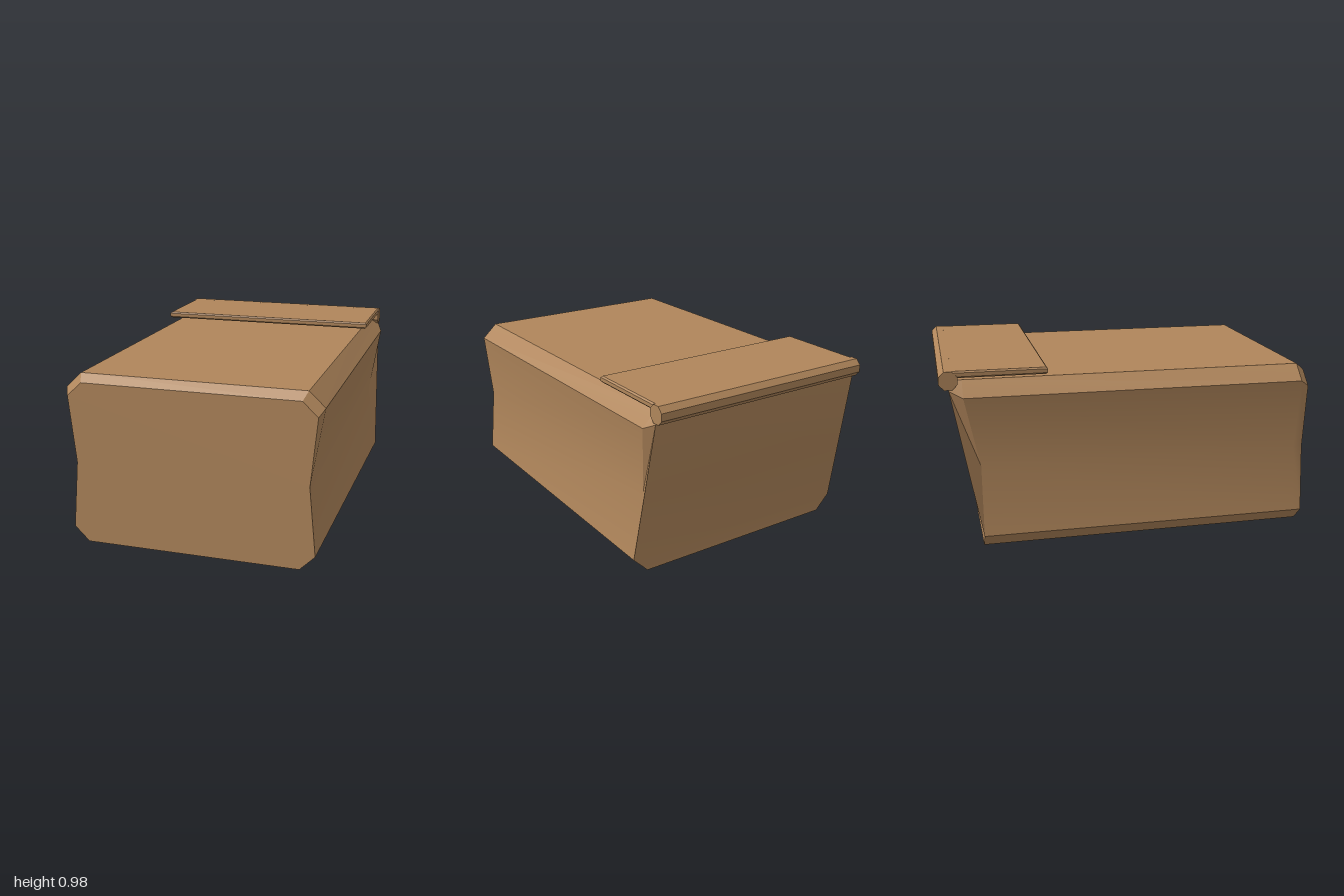
import * as THREE from 'three';
import { toCreasedNormals } from 'three/addons/utils/BufferGeometryUtils.js';

// Half cross-sections (+x side), front to back: base, lower corner, waist, upper corner, top
const RINGS = [
  [[0.58, 0, 1], [0.66, 0.08, 1], [0.625, 0.45, 1], [0.66, 0.81, 1], [0.58, 0.885, 1]],
  [[0.581, 0, 0.95], [0.661, 0.08, 0.95], [0.625, 0.45, 0.95], [0.685, 0.845, 0.95], [0.6, 0.925, 0.95]],
  [[0.6, 0, -0.8], [0.685, 0.085, -0.8], [0.625, 0.46, -0.8], [0.678, 0.845, -0.88], [0.6, 0.925, -0.88]],
  [[0.6, 0, -0.8], [0.685, 0.085, -0.8], [0.668, 0.47, -0.873], [0.65, 0.88, -0.95], [0.6, 0.925, -0.95]],
];

function bodyGeometry() {
  const positions = [];
  const mirror = ([x, y, z]) => [-x, y, z];
  const same = (p, q) => p.every((v, i) => v === q[i]);
  const tri = (a, b, c) => {
    if (!same(a, b) && !same(b, c) && !same(a, c)) positions.push(...a, ...b, ...c);
  };
  const quad = (a, b, c, d) => { tri(a, b, c); tri(a, c, d); };

  // Sides, top and underside
  for (let r = 0; r < RINGS.length - 1; r++) {
    const near = RINGS[r], far = RINGS[r + 1];
    for (let i = 0; i < 4; i++) {
      const [a, b, c, d] = [near[i], near[i + 1], far[i + 1], far[i]];
      quad(a, d, c, b);
      quad(mirror(a), mirror(b), mirror(c), mirror(d));
    }
    quad(near[4], far[4], mirror(far[4]), mirror(near[4]));
    quad(near[0], mirror(near[0]), mirror(far[0]), far[0]);
  }
  // Front and sloping back
  const front = RINGS[0], back = RINGS[RINGS.length - 1];
  for (let i = 0; i < 4; i++) {
    quad(front[i], front[i + 1], mirror(front[i + 1]), mirror(front[i]));
    quad(mirror(back[i]), mirror(back[i + 1]), back[i + 1], back[i]);
  }
  const geometry = new THREE.BufferGeometry();
  geometry.setAttribute('position', new THREE.Float32BufferAttribute(positions, 3));
  return toCreasedNormals(geometry, 0.45);
}

export function createModel() {
  const group = new THREE.Group();
  const cardboard = new THREE.MeshStandardMaterial({ color: 0xb0865b });
  cardboard.name = 'cardboard brown';

  const add = (name, geometry) => {
    const mesh = new THREE.Mesh(geometry, cardboard);
    mesh.name = name;
    group.add(mesh);
    return mesh;
  };

  add('boxBody', bodyGeometry());

  // Eight-sided roll along the back top edge
  const roll = new THREE.CylinderGeometry(0.052, 0.052, 1.3, 8);
  roll.rotateY(Math.PI / 8).rotateZ(Math.PI / 2);
  add('hingeRoll', toCreasedNormals(roll, 0.4)).position.set(0, 0.932, -0.951);

  // Thin flap with chamfered edges, folded forward over the top
  const bevel = 0.008;
  const outline = new THREE.Shape();
  outline.moveTo(-0.638, 0.448);
  outline.lineTo(0.638, 0.448);
  outline.lineTo(0.638, 0.95);
  outline.lineTo(-0.638, 0.95);
  const flap = new THREE.ExtrudeGeometry(outline, {
    depth: 0.02, bevelEnabled: true, bevelSegments: 1, bevelSize: bevel, bevelThickness: bevel,
  });
  flap.rotateX(-Math.PI / 2);
  add('foldedFlap', flap).position.y = 0.944 + bevel;

  return group;
}
